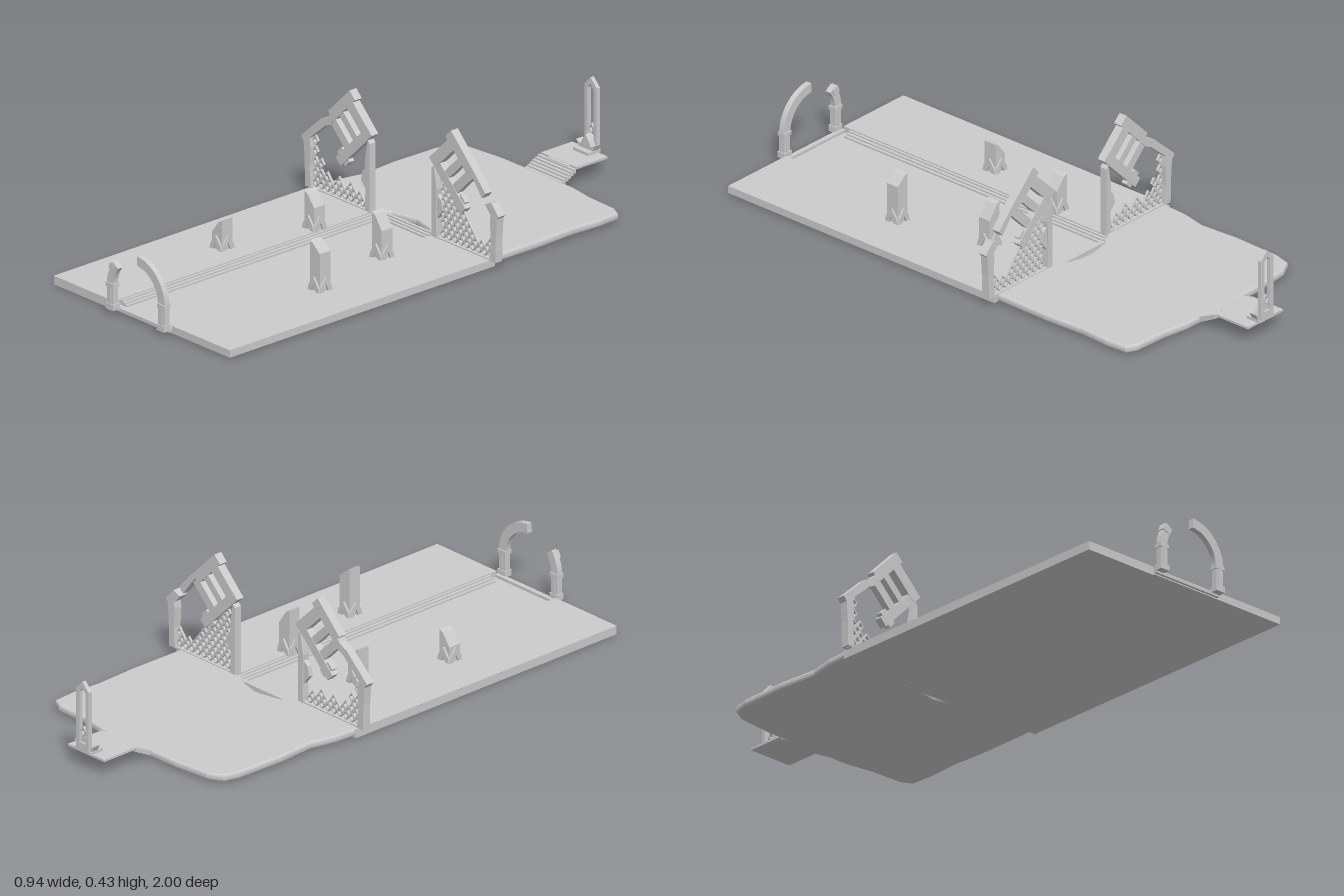
import * as THREE from 'three';

const mat = new THREE.MeshStandardMaterial({ color: 0xcccccc, flatShading: true, side: THREE.DoubleSide });

function add(parent, name, geo, x = 0, y = 0, z = 0) {
  const m = new THREE.Mesh(geo, mat);
  m.name = name;
  m.position.set(x, y, z);
  parent.add(m);
  return m;
}

// Box given by its min and max on each axis
function span(parent, name, x0, x1, y0, y1, z0, z1) {
  return add(parent, name, new THREE.BoxGeometry(x1 - x0, y1 - y0, z1 - z0),
    (x0 + x1) / 2, (y0 + y1) / 2, (z0 + z1) / 2);
}

const toShape = pts => new THREE.Shape(pts.map(p => new THREE.Vector2(...p)));

// Upright plate cut from an outline, centred on z
function plate(parent, name, pts, depth, z = 0, holes = []) {
  const s = toShape(pts);
  holes.forEach(h => s.holes.push(toShape(h)));
  const g = new THREE.ExtrudeGeometry(s, { depth, bevelEnabled: false });
  g.translate(0, 0, -depth / 2);
  return add(parent, name, g, 0, 0, z);
}

// Straight bar between two points in a vertical plane
function beam(parent, name, [ax, ay], [bx, by], width, depth, z = 0) {
  const m = add(parent, name, new THREE.BoxGeometry(Math.hypot(bx - ax, by - ay), width, depth),
    (ax + bx) / 2, (ay + by) / 2, z);
  m.rotation.z = Math.atan2(by - ay, bx - ax);
  return m;
}

function diamond(parent, x, y, z = 0, w = 0.014, h = 0.019) {
  const d = k => [[x - w * k, y], [x, y - h * k], [x + w * k, y], [x, y + h * k]];
  return plate(parent, 'latticeDiamond', d(1), 0.008, z, [d(0.62)]);
}

// Ground slabs with a sunken central channel and stepped kerbs
function buildGround() {
  const g = new THREE.Group();
  g.name = 'ground';
  span(g, 'rightSlab', -0.43, -0.14, 0, 0.03, -0.19, 0.965);
  span(g, 'leftSlab', 0.14, 0.42, 0.004, 0.03, -0.19, 0.965);
  span(g, 'channelFloor', -0.14, 0.14, 0.004, 0.01, -0.21, 0.965);
  for (const s of [-1, 1]) for (let i = 0; i < 3; i++) {
    const a = s * 0.14, b = s * (0.131 - i * 0.011);
    span(g, 'kerbStep', Math.min(a, b), Math.max(a, b), 0.008, 0.026 - i * 0.005, -0.2, 0.935);
  }
  for (let i = 0; i < 3; i++) span(g, 'endStep', -0.14, 0.14, 0.008, 0.016 + i * 0.005, -0.2, -0.17 - i * 0.01);
  return g;
}

// Rear terrace with an eroded edge and a shallow arch cut in its front
function buildTerrace() {
  const pts = [[-0.42, -0.19], [-0.415, -0.27], [-0.395, -0.36], [-0.405, -0.5], [-0.4, -0.68],
    [-0.385, -0.735], [-0.34, -0.76], [-0.2, -0.775], [0.14, -0.777], [0.24, -0.762], [0.36, -0.758],
    [0.395, -0.74], [0.4, -0.66], [0.393, -0.55], [0.4, -0.4], [0.397, -0.19],
    [0.12, -0.19], [0.08, -0.215], [0, -0.235], [-0.1, -0.212], [-0.12, -0.19]];
  const geo = new THREE.ExtrudeGeometry(toShape(pts.map(([x, z]) => [x, -z])), {
    depth: 0.009, bevelThickness: 0.008, bevelSize: 0.007, bevelSegments: 2 });
  geo.rotateX(-Math.PI / 2);
  const g = new THREE.Group();
  g.name = 'terrace';
  add(g, 'terraceSlab', geo, 0, 0.014, 0);
  // Rising steps and landing
  for (let i = 0; i < 6; i++) {
    const z = -0.778 - i * 0.0115;
    span(g, 'stair', -0.09, 0.085, 0.014 + i * 0.006, 0.031 + i * 0.0055, z - 0.0115, z);
  }
  span(g, 'landingNeck', -0.05, 0.05, 0.053, 0.061, -0.86, -0.84);
  span(g, 'landing', -0.09, 0.08, 0.054, 0.062, -0.988, -0.852);
  return g;
}

// Pointed open frame on a spiked base
function buildSpire() {
  const g = new THREE.Group();
  g.name = 'spire';
  const outline = (w, y0, y1, y2) => [[-w, y0], [w, y0], [w, y1], [0, y2], [-w, y1]];
  plate(g, 'spireFrame', outline(0.03, 0.07, 0.285, 0.315), 0.014, -0.993, [outline(0.014, 0.095, 0.276, 0.292)]);
  plate(g, 'spireBase', [[-0.028, 0.06], [0.028, 0.06], [0.045, 0.092], [0.024, 0.083], [0.016, 0.1],
    [0, 0.122], [-0.016, 0.1], [-0.024, 0.083], [-0.045, 0.092]], 0.028, -0.978);
  span(g, 'spirePlinth', -0.036, 0.036, 0.061, 0.072, -0.998, -0.942);
  diamond(g, 0, 0.135, -0.993);
  return g;
}

// Ruined gable: rafter, tilted ladder window, posts and lattice.
// Drawn for the +x side; the other side is mirrored.
function buildGable(side) {
  const g = new THREE.Group();
  g.name = side > 0 ? 'leftGable' : 'rightGable';
  const P = (x, y) => [side * x, y];
  const d = 0.03;
  // Tilted window frame
  beam(g, 'topRung', P(0.2475, 0.392), P(0.145, 0.29), 0.04, d);
  beam(g, 'upperRail', P(0.222, 0.419 - 0.003), P(0.325, 0.313), 0.038, d);
  beam(g, 'lowerRail', P(0.14, 0.315), P(0.292, 0.163), 0.034, d * 0.9);
  beam(g, 'middleRung', P(0.29, 0.345), P(0.195, 0.25), 0.027, d * 0.8);
  beam(g, 'lowerRung', P(0.328, 0.305), P(0.228, 0.205), 0.032, d * 0.8);
  beam(g, 'brokenStub', P(0.25, 0.165), P(0.29, 0.205), 0.03, d * 0.7);
  // Rafter, broken off on one side
  if (side > 0) {
    plate(g, 'rafter', [[0.3, 0.34], [0.325, 0.315], [0.385, 0.238], [0.402, 0.258], [0.375, 0.288], [0.335, 0.33]], d);
    plate(g, 'brokenEave', [[0.4, 0.222], [0.43, 0.235], [0.466, 0.196], [0.45, 0.178], [0.42, 0.198]], d);
  } else {
    plate(g, 'rafter', [[-0.47, 0.2], [-0.453, 0.18], [-0.42, 0.212], [-0.355, 0.268], [-0.325, 0.282],
      [-0.295, 0.33], [-0.31, 0.35], [-0.338, 0.305], [-0.375, 0.287]], d);
  }
  // Posts with chipped outlines
  plate(g, 'outerPost', [P(0.422, 0.03), P(0.45, 0.03), P(0.452, 0.12), P(0.458, 0.2), P(0.43, 0.215),
    P(0.424, 0.17), P(0.428, 0.1)], d);
  plate(g, 'innerPost', [P(0.14, 0.01), P(0.164, 0.01), P(0.16, 0.12), P(0.164, 0.2), P(0.15, 0.28), P(0.14, 0.27)], 0.026);
  plate(g, 'innerFragment', [P(0.155, 0.09), P(0.188, 0.13), P(0.18, 0.165), P(0.155, 0.185)], 0.016);
  span(g, 'sill', Math.min(side * 0.15, side * 0.44), Math.max(side * 0.15, side * 0.44), 0.028, 0.034, -0.012, 0.012);
  // Lattice remnant: tall at one end, ragged along the bottom
  const heights = side > 0 ? [6, 5, 4, 5, 3, 2, 1, 1, 2] : [1, 1, 2, 1, 2, 1, 2, 3, 5];
  heights.forEach((n, i) => {
    const x = side * (0.185 + i * 0.0285);
    for (let k = 0; k < n; k++) {
      diamond(g, x, 0.049 + k * 0.037);
      if (k < Math.max(1, n - 1) && i < 8) diamond(g, x + side * 0.01425, 0.0675 + k * 0.037);
    }
  });
  g.position.z = side > 0 ? -0.18 : -0.163;
  return g;
}

// Broken pillar with a slanted top and pointed buttress plates at the foot
function buildPillar(x, z, yLow, yHigh, dir) {
  const g = new THREE.Group();
  g.name = 'brokenPillar';
  const w = 0.024;
  const lo = -dir * w, hi = dir * w;
  plate(g, 'shaft', [[-w, 0.025], [w, 0.025], ...(dir > 0
    ? [[hi, yHigh], [hi * 0.4, yHigh - 0.006], [lo, yLow]]
    : [[lo, yLow], [hi * 0.4, yHigh - 0.006], [hi, yHigh]])], 0.046);
  for (let i = 0; i < 4; i++) {
    const side = new THREE.Group();
    side.rotation.y = i * Math.PI / 2;
    plate(side, 'footChevron', [[-0.029, 0.025], [-0.012, 0.025], [0, 0.055], [0.012, 0.025], [0.029, 0.025],
      [0.022, 0.05], [0, 0.08], [-0.022, 0.05]], 0.008, 0.026);
    g.add(side);
  }
  g.position.set(x, 0, z);
  return g;
}

// Entrance arch, mostly collapsed
function buildArch() {
  const g = new THREE.Group();
  g.name = 'entranceArch';
  const arc = (name, a0, a1, r0, r1, depth) => {
    const s = new THREE.Shape();
    s.absarc(0, 0.1, r1, a0, a1, false);
    s.absarc(0, 0.1, r0, a1, a0, true);
    const geo = new THREE.ExtrudeGeometry(s, { depth, bevelEnabled: false, curveSegments: 14 });
    add(g, name, geo, 0, 0, 0.985 - depth / 2);
  };
  arc('leftArc', 0, 1.53, 0.107, 0.14, 0.02);
  arc('rightArc', 2.48, Math.PI, 0.11, 0.14, 0.02);
  beam(g, 'brokenTip', [-0.118, 0.155], [-0.108, 0.178], 0.026, 0.026, 0.985);
  for (const s of [-1, 1]) {
    const leg = (n, c, w, y0, y1, t) => span(g, n, s * c - w, s * c + w, y0, y1, 0.985 - t, 0.985 + t);
    leg('legShaft', 0.1235, 0.0145, 0.02, 0.1, 0.011);
    leg('legFoot', 0.1235, 0.018, 0.015, 0.036, 0.015);
    leg('legCapital', 0.1235, 0.018, 0.094, 0.108, 0.014);
    leg('legRib', 0.1235, 0.006, 0.03, 0.1, 0.014);
  }
  span(g, 'threshold', -0.14, 0.14, 0.008, 0.02, 0.958, 0.975);
  return g;
}

export function createModel() {
  const model = new THREE.Group();
  model.name = 'ruinedCourtyard';
  model.add(buildGround(), buildTerrace(), buildSpire(), buildGable(1), buildGable(-1), buildArch());
  model.add(
    buildPillar(-0.168, 0.065, 0.11, 0.158, -1),
    buildPillar(0.158, 0.065, 0.13, 0.185, -1),
    buildPillar(-0.243, 0.4, 0.085, 0.135, 1),
    buildPillar(0.23, 0.4, 0.165, 0.2, -1));
  return model;
}
